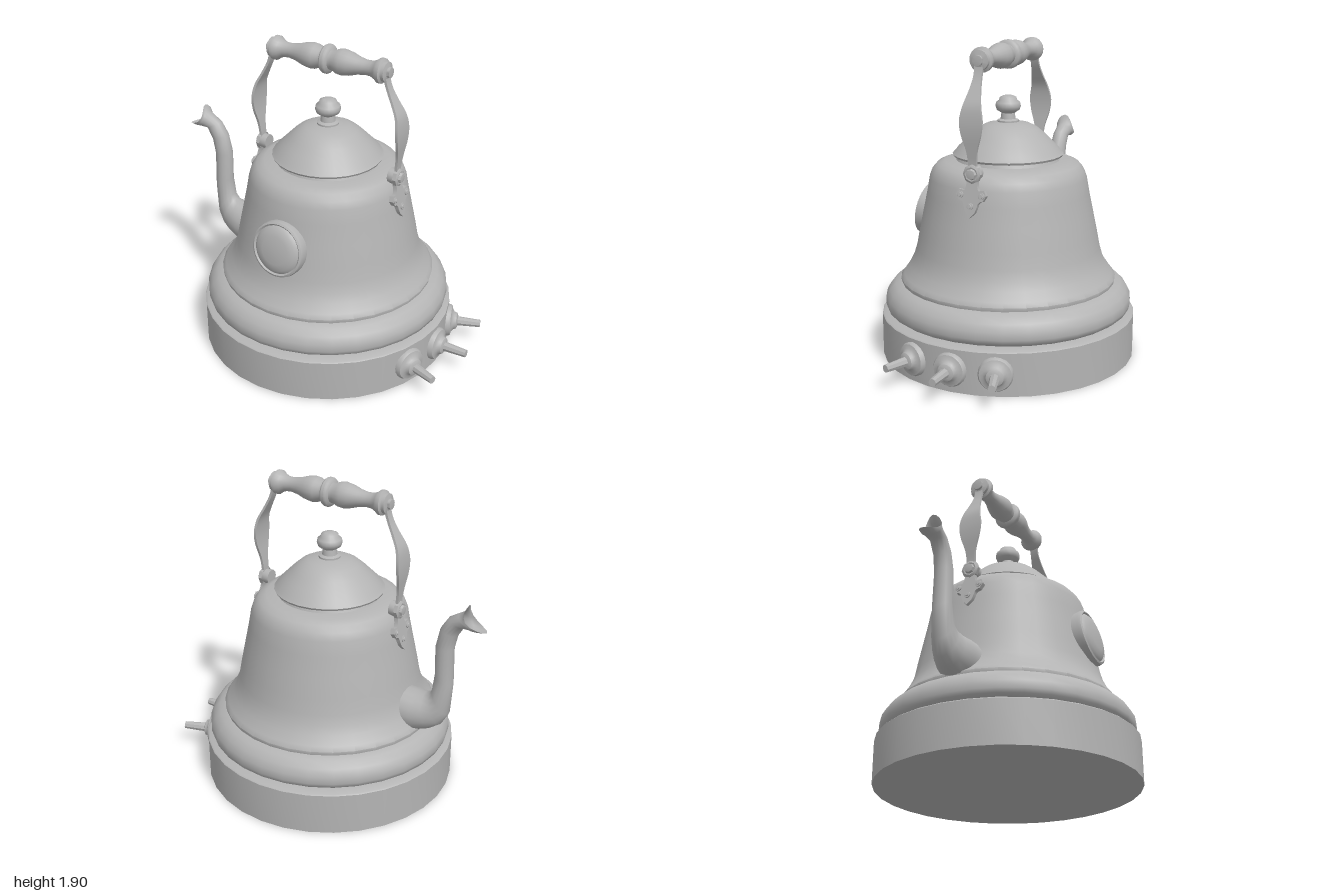
import * as THREE from 'three';
import { toCreasedNormals } from 'three/addons/utils/BufferGeometryUtils.js';

const CX = 0.025; // axis of the kettle body

export function createModel() {
  const root = new THREE.Group();
  root.name = 'kettle';
  const grey = new THREE.MeshStandardMaterial({ color: 0xb4b4b4, side: THREE.DoubleSide });
  grey.name = 'grey metal';

  const add = (parent, name, geometry, crease = 0.7) => {
    const mesh = new THREE.Mesh(toCreasedNormals(geometry, crease), grey);
    mesh.name = name;
    parent.add(mesh);
    return mesh;
  };
  const group = (parent, name) => {
    const g = new THREE.Group();
    g.name = name;
    parent.add(g);
    return g;
  };
  const lathe = (points, segments = 32) =>
    new THREE.LatheGeometry(points.map(([r, y]) => new THREE.Vector2(r, y)), segments);

  // Skin a list of equal closed rings
  const loft = (rings) => {
    const n = rings[0].length, index = [];
    for (let i = 0; i < rings.length - 1; i++) {
      for (let j = 0; j < n; j++) {
        const a = i * n + j, b = i * n + (j + 1) % n;
        index.push(a, b, b + n, a, b + n, a + n);
      }
    }
    const g = new THREE.BufferGeometry();
    g.setAttribute('position', new THREE.Float32BufferAttribute(rings.flat(2), 3));
    g.setIndex(index);
    g.computeVertexNormals();
    return g;
  };

  const kettle = group(root, 'kettleBody');
  kettle.position.x = CX;

  // Base drum, bell-shaped body, lid and knob
  add(kettle, 'base', lathe([[0, 0], [0.773, 0], [0.773, 0.255], [0.765, 0.262], [0.68, 0.265]]));
  add(kettle, 'body', lathe([
    [0.68, 0.262], [0.715, 0.275], [0.742, 0.295], [0.75, 0.32], [0.748, 0.365], [0.725, 0.405],
    [0.69, 0.44], [0.65, 0.452], [0.655, 0.475], [0.635, 0.5], [0.60, 0.55], [0.575, 0.6],
    [0.557, 0.66], [0.54, 0.75], [0.515, 0.87], [0.488, 1.0], [0.472, 1.09], [0.455, 1.135],
    [0.425, 1.17], [0.38, 1.187], [0.31, 1.192], [0.30, 1.215]]), 0.9);
  add(kettle, 'lid', lathe([
    [0.29, 1.212], [0.325, 1.215], [0.332, 1.228], [0.318, 1.242], [0.305, 1.26], [0.265, 1.30],
    [0.22, 1.345], [0.175, 1.383], [0.13, 1.405], [0.06, 1.418], [0, 1.42]], 28), 0.8);
  add(kettle, 'lidKnob', lathe([
    [0.065, 1.408], [0.065, 1.427], [0.045, 1.435], [0.04, 1.47], [0.068, 1.488], [0.076, 1.51],
    [0.072, 1.532], [0.055, 1.545], [0.05, 1.562], [0.03, 1.572], [0, 1.574]], 20), 0.9);

  // Round badge on the front
  const badge = add(kettle, 'frontBadge', lathe([
    [0.165, -0.05], [0.17, 0.015], [0.166, 0.032], [0.155, 0.038], [0.146, 0.03], [0.142, 0.034],
    [0.125, 0.048], [0.085, 0.058], [0, 0.062]], 28));
  badge.position.set(0, 0.83, 0.522);
  badge.rotation.x = Math.PI / 2 - 0.17;

  // Spout: [inner x, inner y, outer x, outer y, half width, side notch]
  const sections = [
    [-0.45, 0.70, -0.50, 0.44, 0.135, 0], [-0.58, 0.70, -0.61, 0.452, 0.125, 0],
    [-0.64, 0.702, -0.69, 0.48, 0.10, 0], [-0.672, 0.715, -0.75, 0.52, 0.08, 0],
    [-0.688, 0.745, -0.795, 0.60, 0.066, 0], [-0.70, 0.85, -0.81, 0.80, 0.058, 0],
    [-0.695, 1.03, -0.805, 1.03, 0.054, 0], [-0.72, 1.15, -0.825, 1.12, 0.05, 0],
    [-0.77, 1.228, -0.862, 1.182, 0.048, 0], [-0.83, 1.265, -0.915, 1.18, 0.052, 0.005],
    [-0.865, 1.285, -0.95, 1.176, 0.056, 0.025], [-0.885, 1.325, -1.0, 1.182, 0.056, 0.055]];
  const SIDES = 16;
  add(root, 'spout', loft(sections.map(([ix, iy, ox, oy, w, notch]) =>
    Array.from({ length: SIDES }, (_, j) => {
      const a = (j / SIDES) * Math.PI * 2, c = Math.cos(a), s = Math.sin(a);
      return [
        (ix + ox) / 2 + (ix - ox) / 2 * c + notch * s * s,
        (iy + oy) / 2 + (iy - oy) / 2 * c - notch * 0.25 * s * s,
        -w * s];
    }))), 1.2);

  // Turned grip: half profile mirrored about its middle
  const half = [
    [0.086, 0.008], [0.08, 0.018], [0.06, 0.026], [0.06, 0.045], [0.073, 0.075], [0.076, 0.105],
    [0.068, 0.15], [0.052, 0.20], [0.043, 0.25], [0.045, 0.29], [0.058, 0.32], [0.072, 0.338],
    [0.072, 0.358], [0.058, 0.366], [0.058, 0.385], [0.03, 0.392], [0.03, 0.408], [0, 0.412]];
  const grip = add(kettle, 'grip', lathe(
    [...half.map(([r, y]) => [r, -y]).reverse(), ...half], 20), 0.8);
  grip.rotation.z = -Math.PI / 2;
  grip.position.y = 1.815;

  // Handle straps with hinge rivets and body brackets on both sides
  const strapPath = new THREE.CatmullRomCurve3([
    [0.468, 1.17, 0.026], [0.47, 1.25, 0.026], [0.478, 1.32, 0.033], [0.488, 1.41, 0.06],
    [0.488, 1.49, 0.07], [0.475, 1.57, 0.055], [0.435, 1.65, 0.036], [0.40, 1.72, 0.026],
    [0.382, 1.78, 0.026], [0.38, 1.84, 0.028]].map((p) => new THREE.Vector3(...p)));
  const t = 0.008;
  const strapRings = strapPath.getPoints(36).map(({ x, y, z: w }) =>
    [[x + t, y, w], [x + t, y, -w], [x - t, y, -w], [x - t, y, w]]);

  const plate = new THREE.Shape();
  plate.moveTo(-0.035, 0.14);
  plate.lineTo(0.035, 0.14);
  plate.quadraticCurveTo(0.025, 0.07, 0.045, 0.045);
  plate.lineTo(0.08, 0.05);
  plate.lineTo(0.094, 0.02);
  plate.lineTo(0.075, -0.012);
  plate.quadraticCurveTo(0.045, -0.015, 0.042, -0.045);
  plate.lineTo(0.03, -0.08);
  plate.lineTo(0, -0.112);
  plate.lineTo(-0.03, -0.08);
  plate.lineTo(-0.042, -0.045);
  plate.quadraticCurveTo(-0.045, -0.015, -0.075, -0.012);
  plate.lineTo(-0.094, 0.02);
  plate.lineTo(-0.08, 0.05);
  plate.lineTo(-0.045, 0.045);
  plate.quadraticCurveTo(-0.025, 0.07, -0.035, 0.14);
  const plateGeometry = new THREE.ExtrudeGeometry(plate, {
    depth: 0.026, bevelEnabled: false, curveSegments: 5 }).rotateY(Math.PI / 2);

  const rivet = (parent, name, r, depth, x, y, z, sides) => {
    const m = add(parent, name, lathe([
      [r, 0], [r, depth * 0.5], [r * 0.75, depth * 0.65], [r * 0.6, depth * 0.6],
      [r * 0.5, depth * 0.9], [0, depth]], sides));
    m.rotation.z = -Math.PI / 2;
    m.position.set(x, y, z);
  };

  for (const side of ['left', 'right']) {
    const arm = group(kettle, side + 'HandleArm');
    if (side === 'right') arm.rotation.y = Math.PI;
    add(arm, 'strap', loft(strapRings));
    rivet(arm, 'hingeRivet', 0.055, 0.045, 0.462, 1.19, 0, 8);
    const lug = add(arm, 'hingeLug', new THREE.CylinderGeometry(0.045, 0.045, 0.05, 12));
    lug.rotation.z = Math.PI / 2;
    lug.position.set(0.448, 1.19, 0);
    const bracket = group(arm, 'bracket');
    bracket.position.set(0.473, 1.05, 0);
    bracket.rotation.z = 0.17;
    add(bracket, 'bracketPlate', plateGeometry);
    for (const [y, z] of [[0.018, 0.066], [0.018, -0.066], [-0.045, 0]]) {
      rivet(bracket, 'bracketRivet', 0.02, 0.014, 0.025, y, z, 10);
    }
  }

  // Three radial taps on the base
  for (const angle of [-0.345, 0, 0.345]) {
    const tap = group(kettle, 'tap');
    tap.rotation.y = angle;
    const rosette = add(tap, 'tapRosette', lathe([
      [0.10, 0.72], [0.10, 0.782], [0.092, 0.795], [0.07, 0.80], [0.055, 0.812], [0.05, 0.828],
      [0.035, 0.835], [0, 0.836]], 20));
    rosette.rotation.z = -Math.PI / 2;
    rosette.position.y = 0.135;
    const lever = add(tap, 'tapLever', new THREE.CylinderGeometry(0.023, 0.03, 0.16, 8));
    lever.rotation.z = -Math.PI / 2;
    lever.position.set(0.895, 0.135, 0);
  }

  return root;
}
